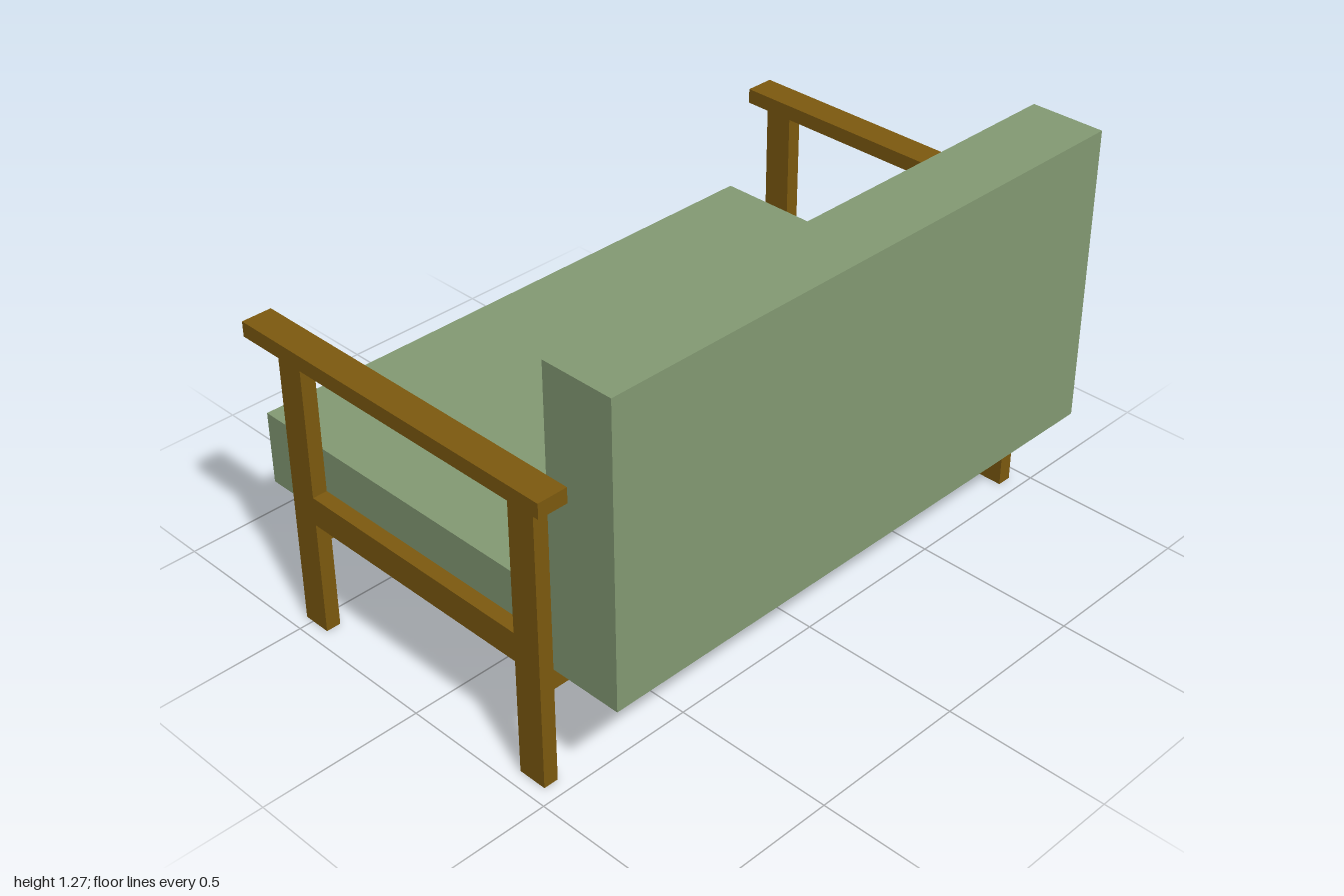
import * as THREE from 'three';

export function createModel() {
  const model = new THREE.Group();
  const wood = new THREE.MeshStandardMaterial({ color: 0x7d5a0f });
  const fabric = new THREE.MeshStandardMaterial({ color: 0x849b74 });

  // Box given by its lower and upper limits on each axis
  function block(name, material, [x0, x1], [y0, y1], [z0, z1]) {
    const mesh = new THREE.Mesh(new THREE.BoxGeometry(x1 - x0, y1 - y0, z1 - z0), material);
    mesh.position.set((x0 + x1) / 2, (y0 + y1) / 2, (z0 + z1) / 2);
    mesh.name = name;
    model.add(mesh);
  }

  // Cushions
  const width = [-0.908, 0.908];
  block('seatCushion', fabric, [-0.68, 0.453], [0.365, 0.592], width);
  block('backCushion', fabric, [0.453, 0.68], [0.365, 1.275], width);

  const legs = [[-0.528, -0.438], [0.362, 0.453]];

  // Two mirrored side frames: legs, side rail and armrest
  for (const s of [1, -1]) {
    const span = (a, b) => (s > 0 ? [a, b] : [-b, -a]);
    for (const x of legs) block('leg', wood, x, [0, 0.91], span(0.908, 0.954));
    block('sideRail', wood, [-0.438, 0.362], [0.365, 0.455], span(0.908, 0.954));
    block('armrest', wood, [-0.606, 0.525], [0.91, 0.956], span(0.908, 1));
  }

  // Long rails under the seat, joining the side frames
  for (const [a, b] of legs) {
    const mid = (a + b) / 2;
    block('crossRail', wood, [mid - 0.0225, mid + 0.0225], [0.275, 0.365], width);
  }

  return model;
}
